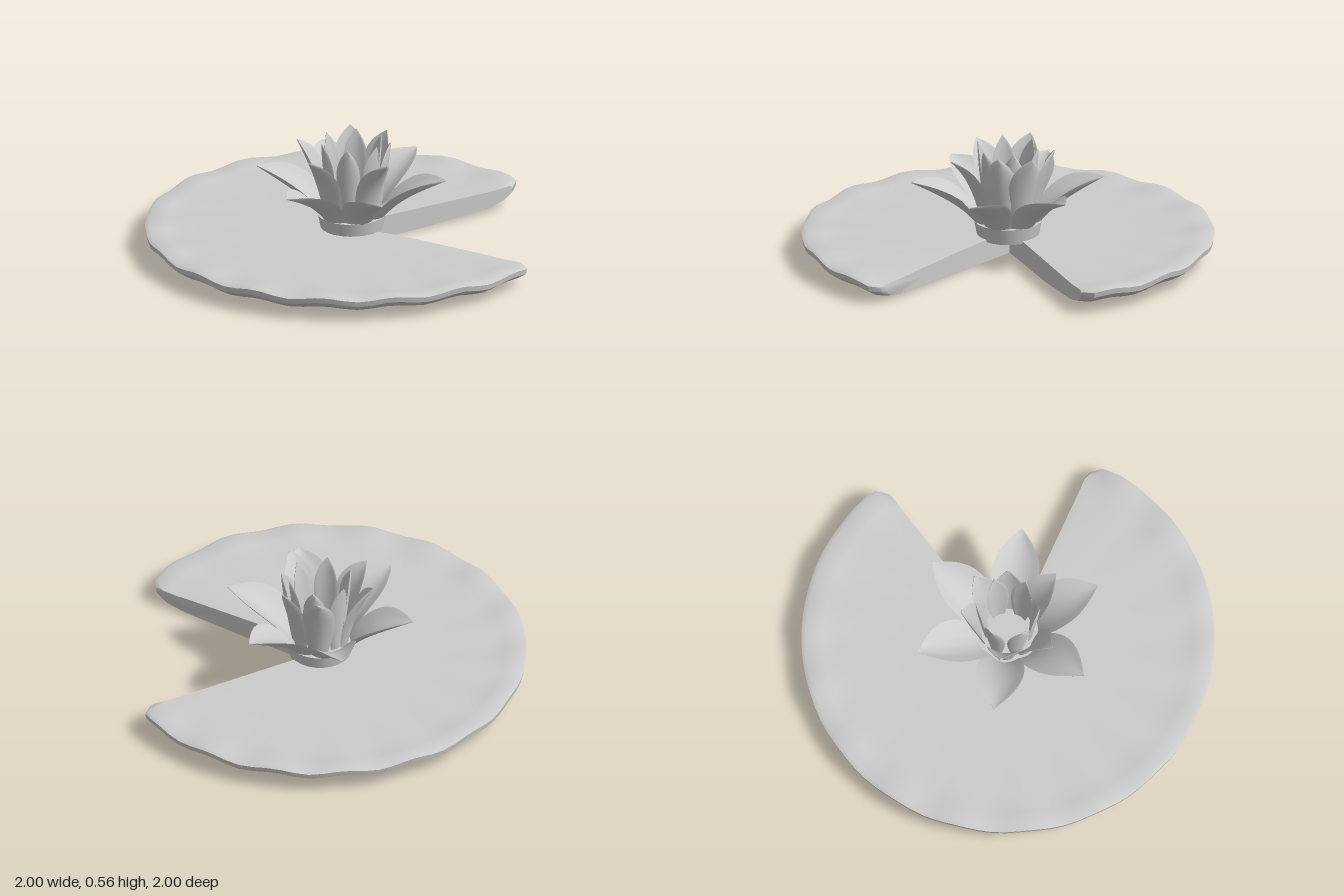
import * as THREE from 'three';
import { toCreasedNormals } from 'three/addons/utils/BufferGeometryUtils.js';

const material = new THREE.MeshStandardMaterial({ color: 0xcccccc });
const rad = THREE.MathUtils.degToRad;

// Skin a row of closed rings and cap both ends.
function loft(rings, crease) {
  const pos = [];
  const tri = (a, b, c) => {
    if (new THREE.Triangle(a, b, c).getArea() < 1e-9) return;
    for (const p of [a, b, c]) pos.push(p.x, p.y, p.z);
  };
  const n = rings[0].length;
  for (let i = 0; i < rings.length - 1; i++) {
    for (let j = 0; j < n; j++) {
      const k = (j + 1) % n;
      tri(rings[i][j], rings[i + 1][j], rings[i][k]);
      tri(rings[i + 1][j], rings[i + 1][k], rings[i][k]);
    }
  }
  const cap = (ring, flip) => {
    const c = new THREE.Vector3();
    ring.forEach((p) => c.addScaledVector(p, 1 / n));
    ring.forEach((p, j) => {
      const q = ring[(j + 1) % n];
      if (flip) tri(c, q, p);
      else tri(c, p, q);
    });
  };
  cap(rings[0], false);
  cap(rings[rings.length - 1], true);
  const geo = new THREE.BufferGeometry();
  geo.setAttribute('position', new THREE.Float32BufferAttribute(pos, 3));
  return toCreasedNormals(geo, crease);
}

// Notched leaf: radial cross-sections swept round the outline.
function createPad() {
  const outline = [[0.32, 0.87], [0.32, 0.9], [0.29, 0.95], [0.2, 0.98]];
  for (let a = 82; a <= 362; a += 4) outline.push([Math.cos(rad(a)), Math.sin(rad(a))]);
  outline.push([0.99, 0.09], [0.93, 0.13]);

  // [share of radius, height, wave strength], top outwards then underside inwards
  const profile = [
    [0, 0.115, 0], [0.4, 0.113, 0], [0.8, 0.11, 0], [0.9, 0.115, 0.6], [0.98, 0.124, 1], [1, 0.115, 1],
    [0.995, 0.088, 1], [0.95, 0.055, 0.8], [0.85, 0.03, 0.4], [0.5, 0.006, 0], [0, 0, 0],
  ];
  const apex = [-0.02, -0.02];
  const rings = outline.map(([x, z]) => {
    let a = Math.atan2(z, x);
    if (a < rad(60)) a += Math.PI * 2;
    const wave = 0.009 * Math.cos(a * 18);
    const droop = 0.025 * Math.max(0, 1 - (a - rad(68)) / rad(30));
    return profile.map(([s, y, w]) => new THREE.Vector3(
      apex[0] + (x - apex[0]) * s,
      Math.max(0, y + w * wave - droop * s ** 3),
      apex[1] + (z - apex[1]) * s,
    ));
  });
  return loft(rings, rad(40));
}

// Cupped petal rising along a curve of [radius, height] points.
function createPetal(points, halfWidth, cup) {
  const path = new THREE.QuadraticBezierCurve(...points.map((p) => new THREE.Vector2(...p)));
  const rings = [];
  const steps = 14, sides = 16;
  for (let i = 0; i <= steps; i++) {
    const t = i / steps;
    const p = path.getPoint(t), d = path.getTangent(t);
    const swell = 0.5 + 0.5 * Math.sin(Math.PI / 2 * Math.min(1, t / 0.55));
    const taper = 1 - Math.max(0, (t - 0.55) / 0.45) ** 2.2;
    const w = swell * taper;
    const ring = [];
    for (let j = 0; j < sides; j++) {
      const f = j / sides * Math.PI * 2;
      const off = 0.008 * Math.sin(f) * (0.3 + 0.7 * w) - cup * w * Math.cos(f) ** 2;
      ring.push(new THREE.Vector3(p.x + d.y * off, p.y - d.x * off, -halfWidth * w * Math.cos(f)));
    }
    rings.push(ring);
  }
  return loft(rings, rad(60));
}

export function createModel() {
  const model = new THREE.Group();
  model.name = 'waterLily';
  const add = (name, geo, angle = 0) => {
    const mesh = new THREE.Mesh(geo, material);
    mesh.name = name;
    mesh.rotation.y = -rad(angle);
    model.add(mesh);
    return mesh;
  };

  add('lilyPad', createPad());
  add('flowerBase', new THREE.CylinderGeometry(0.165, 0.15, 0.08, 24)).position.y = 0.14;

  // Spread outer petals
  const outer = createPetal([[0.13, 0.14], [0.23, 0.3], [0.47, 0.385]], 0.115, 0.05);
  for (let i = 0; i < 6; i++) add('outerPetal', outer, -6 + i * 60);

  // Middle petals: [direction, tip radius, tip height]
  const middle = [[97, 0.3, 0.515], [178, 0.29, 0.515], [-126, 0.27, 0.54],
    [-50, 0.23, 0.55], [0, 0.23, 0.55], [45, 0.19, 0.55]];
  for (const [angle, r, y] of middle) {
    add('middlePetal', createPetal([[0.13, 0.16], [0.165, 0.4], [r, y]], 0.08, 0.03), angle);
  }

  // Upright inner petals
  const inner = createPetal([[0.11, 0.16], [0.13, 0.4], [0.155, 0.56]], 0.058, 0.02);
  for (let i = 0; i < 6; i++) add('innerPetal', inner, 20 + i * 60);

  return model;
}
